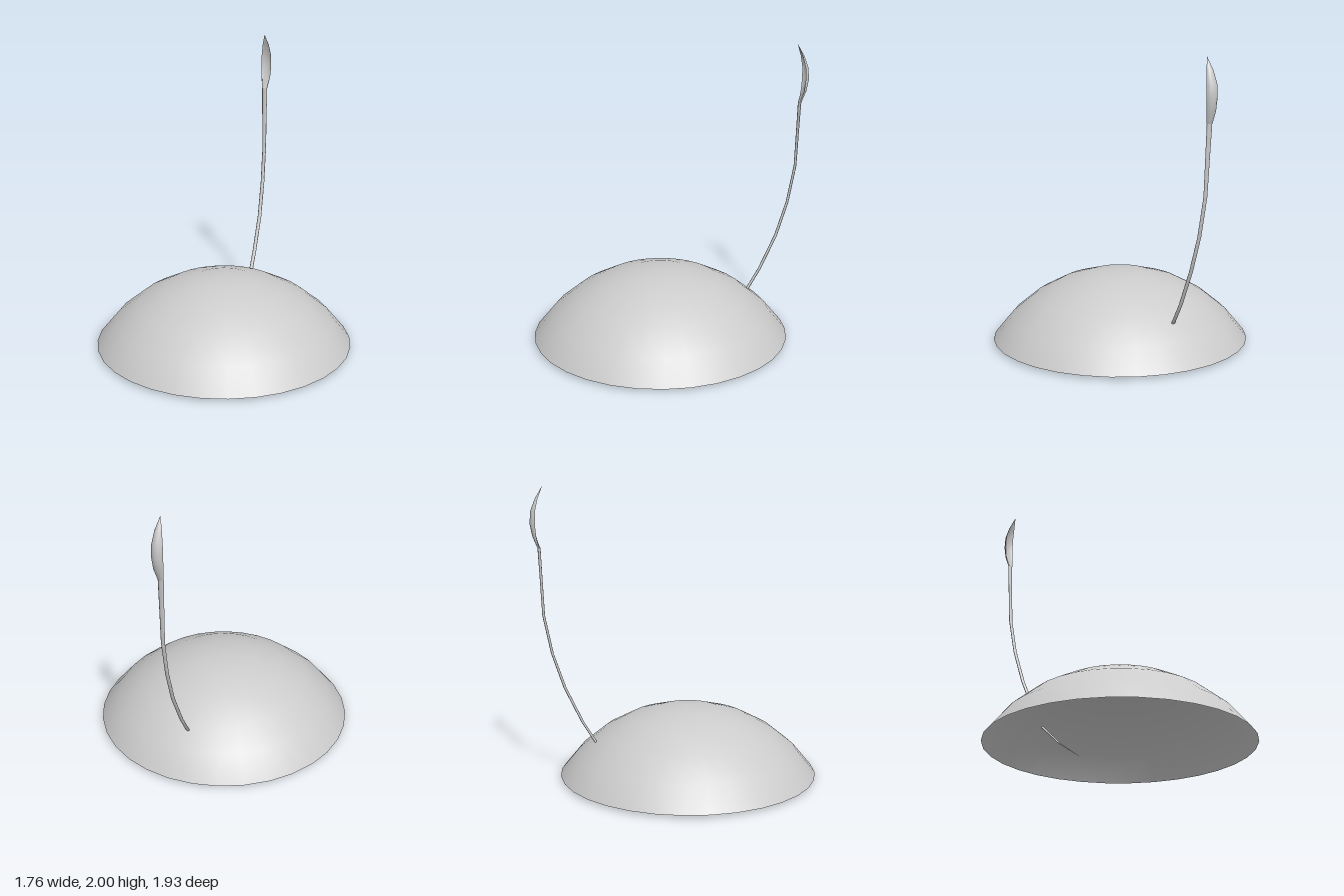
import * as THREE from 'three';
import { toCreasedNormals } from 'three/addons/utils/BufferGeometryUtils.js';

const grey = new THREE.MeshStandardMaterial({ color: 0xcccccc, side: THREE.DoubleSide });

// Skin a stack of horizontal sections: [y, x, z, half width, depth behind, depth in front]
// A negative front depth hollows the section out.
function loft(sections, sides) {
  const pos = [], index = [];
  for (const [y, x, z, w, back, front] of sections) {
    for (let i = 0; i < sides; i++) {
      const a = (i / sides) * Math.PI * 2, s = Math.sin(a);
      pos.push(x + Math.cos(a) * w, y, z + s * (s > 0 ? front : back));
    }
  }
  for (let r = 0; r < sections.length - 1; r++) {
    for (let i = 0; i < sides; i++) {
      const a = r * sides + i, b = r * sides + (i + 1) % sides;
      index.push(a, a + sides, b, b, a + sides, b + sides);
    }
  }
  const g = new THREE.BufferGeometry();
  g.setAttribute('position', new THREE.Float32BufferAttribute(pos, 3));
  g.setIndex(index);
  return g;
}

export function createModel() {
  const group = new THREE.Group();

  // Open dome: the top five bands of a sphere
  const theta = Math.PI * 5 / 16, radius = 0.882 / Math.sin(theta);
  const dome = new THREE.Mesh(
    new THREE.SphereGeometry(radius, 32, 5, 0, Math.PI * 2, 0, theta), grey);
  dome.name = 'dome';
  dome.position.set(0, 0.018 - radius * Math.cos(theta), 0.085);
  group.add(dome);

  // Curved stem, running through the dome to a thin end inside it
  const stem = new THREE.Mesh(loft([
    [0.0, -0.03, -0.23, 0.002, 0.002, 0.002],
    [0.12, -0.03, -0.4, 0.009, 0.008, 0.008],
    [0.265, -0.03, -0.558, 0.014, 0.01, 0.01],
    [0.41, -0.03, -0.645, 0.014, 0.01, 0.01],
    [0.65, -0.03, -0.758, 0.014, 0.01, 0.01],
    [0.89, -0.036, -0.838, 0.014, 0.009, 0.009],
    [1.15, -0.042, -0.89, 0.014, 0.009, 0.009],
    [1.4, -0.047, -0.901, 0.017, 0.009, 0.009],
    [1.6, -0.051, -0.91, 0.02, 0.01, 0.01],
  ], 8), grey);
  stem.name = 'stem';
  group.add(stem);

  // Pointed bowl at the end of the stem, hollow towards the front
  const bowl = new THREE.Mesh(toCreasedNormals(loft([
    [1.6, -0.051, -0.91, 0.02, 0.01, 0.01],
    [1.68, -0.048, -0.927, 0.033, 0.025, -0.008],
    [1.76, -0.047, -0.934, 0.037, 0.033, -0.02],
    [1.84, -0.047, -0.932, 0.036, 0.029, -0.018],
    [1.92, -0.046, -0.913, 0.024, 0.017, -0.009],
    [2.0, -0.046, -0.882, 0.001, 0.001, 0.001],
  ], 12), 1.2), grey);
  bowl.name = 'bowl';
  group.add(bowl);

  stem.geometry.computeVertexNormals();
  return group;
}
